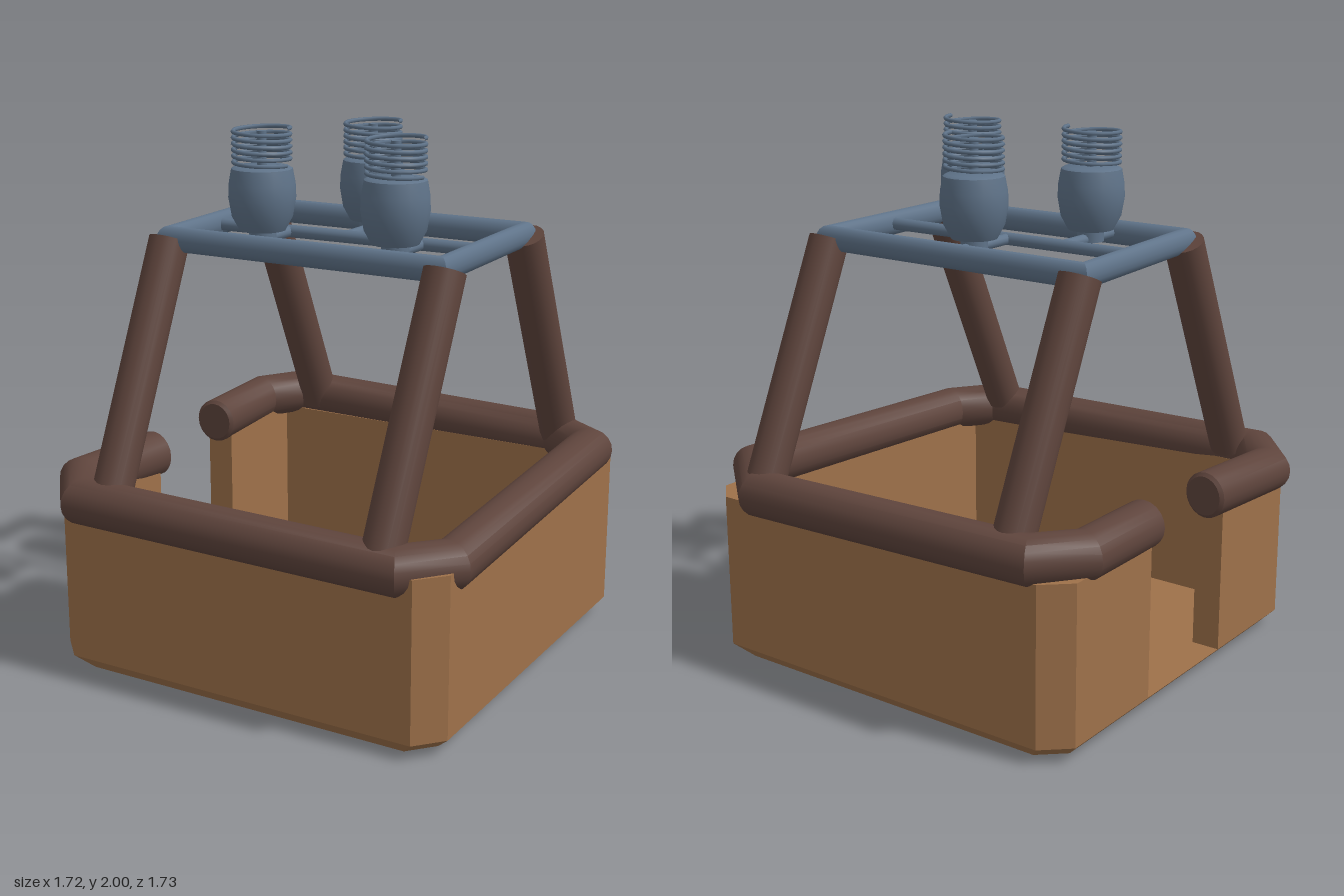
import * as THREE from 'three';
import { toCreasedNormals } from 'three/addons/utils/BufferGeometryUtils.js';

const V = (x, y, z) => new THREE.Vector3(x, y, z);

// Sweeps an elliptical section along a mostly level path with mitred corners.
function sweep(points, rx, ry, closed, sides = 16) {
  const up = V(0, 1, 0), n = points.length, rings = [];
  const sideOf = (a, b) => up.clone().cross(b.clone().sub(a)).setY(0).normalize();
  points.forEach((p, i) => {
    const prev = points[i - 1] || (closed ? points[n - 1] : null);
    const next = points[i + 1] || (closed ? points[0] : null);
    const a = prev && sideOf(prev, p), b = next && sideOf(p, next);
    const s = a && b ? a.clone().add(b).normalize() : (a || b).clone();
    if (a && b) s.divideScalar(s.dot(a));
    rings.push({ p, s, k: 1 });
  });
  if (closed) rings.push(rings[0]);
  else {
    // small bevel and flat cap at each end
    const cap = (end, inner) => {
      const q = end.p.clone().add(end.p.clone().sub(inner.p).normalize().multiplyScalar(0.012));
      return [{ p: q, s: end.s, k: 0.85 }, { p: q, s: end.s, k: 0 }];
    };
    const first = cap(rings[0], rings[1]).reverse();
    const last = cap(rings[n - 1], rings[n - 2]);
    rings.unshift(...first);
    rings.push(...last);
  }
  const pos = [], idx = [];
  for (const { p, s, k } of rings) {
    for (let j = 0; j < sides; j++) {
      const t = (j / sides) * Math.PI * 2;
      const v = p.clone().addScaledVector(s, Math.cos(t) * rx * k).addScaledVector(up, Math.sin(t) * ry * k);
      pos.push(v.x, v.y, v.z);
    }
  }
  for (let i = 0; i < rings.length - 1; i++) {
    for (let j = 0; j < sides; j++) {
      const a = i * sides + j, b = i * sides + (j + 1) % sides;
      idx.push(a, b, b + sides, a, b + sides, a + sides);
    }
  }
  const g = new THREE.BufferGeometry();
  g.setAttribute('position', new THREE.Float32BufferAttribute(pos, 3));
  g.setIndex(idx);
  return toCreasedNormals(g, 0.6);
}

// Extrudes a plan outline of [x, z] pairs upward from y0 to y1.
function slab(outline, y0, y1) {
  const shape = new THREE.Shape(outline.map(([x, z]) => new THREE.Vector2(x, -z)));
  const g = new THREE.ExtrudeGeometry(shape, { depth: y1 - y0, bevelEnabled: false });
  return g.rotateX(-Math.PI / 2).translate(0, y0, 0);
}

export function createModel() {
  const model = new THREE.Group();
  model.name = 'balloonBasket';
  const material = (name, color) => {
    const m = new THREE.MeshStandardMaterial({ color });
    m.name = name;
    return m;
  };
  const wicker = material('wicker', 0x9e714a);
  const leather = material('leather', 0x5e443c);
  const metal = material('metal', 0x5f7389);

  const add = (name, geometry, mat, parent = model) => {
    const mesh = new THREE.Mesh(geometry, mat);
    mesh.name = name;
    parent.add(mesh);
    return mesh;
  };
  const rod = (name, a, b, r, mat, sides = 16) => {
    const d = b.clone().sub(a);
    const mesh = add(name, new THREE.CylinderGeometry(r, r, d.length(), sides), mat);
    mesh.position.copy(a).add(b).multiplyScalar(0.5);
    mesh.quaternion.setFromUnitVectors(V(0, 1, 0), d.normalize());
  };

  // Floor with its underside tapering inward
  const floor = slab([
    [-0.79, 0.7], [-0.69, 0.8], [0.73, 0.8], [0.82, 0.7],
    [0.82, -0.72], [0.73, -0.81], [-0.69, -0.81], [-0.79, -0.72],
  ], 0, 0.06);
  const fp = floor.attributes.position;
  for (let i = 0; i < fp.count; i++) {
    if (fp.getY(i) < 0.03) fp.setXYZ(i, fp.getX(i) * 0.925, 0, fp.getZ(i) * 0.925);
  }
  floor.computeVertexNormals();
  add('floor', floor, wicker);

  // Walls with chamfered outer corners and a doorway on one side
  add('walls', slab([
    [-0.79, 0.24], [-0.79, 0.7], [-0.69, 0.8], [0.73, 0.8], [0.82, 0.7],
    [0.82, -0.72], [0.73, -0.81], [-0.69, -0.81], [-0.79, -0.72], [-0.79, -0.26],
    [-0.68, -0.26], [-0.68, -0.7], [0.71, -0.7], [0.71, 0.69], [-0.68, 0.69], [-0.68, 0.24],
  ], 0.06, 0.655), wicker);

  // Padded rim, open at the doorway
  add('rim', sweep([
    V(-0.735, 0.7, -0.23), V(-0.748, 0.71, -0.61), V(-0.63, 0.715, -0.77), V(0.575, 0.69, -0.778),
    V(0.766, 0.71, -0.61), V(0.773, 0.65, 0.6), V(0.645, 0.655, 0.757), V(-0.63, 0.675, 0.775),
    V(-0.775, 0.68, 0.6), V(-0.735, 0.68, 0.2),
  ], 0.086, 0.088, false, 20), leather);

  // Four leaning posts
  [
    ['frontLeftPost', 0.585, 0.735, 0.605, 0.35],
    ['frontRightPost', -0.535, 0.735, -0.525, 0.35],
    ['backLeftPost', 0.585, -0.755, 0.57, -0.375],
    ['backRightPost', -0.54, -0.755, -0.555, -0.375],
  ].forEach(([name, x0, z0, x1, z1]) =>
    rod(name, V(x0, 0.7, z0), V(x1, 1.58, z1), 0.075, leather, 20));

  // Burner frame and its crossbar
  add('burnerFrame', sweep([
    V(-0.57, 1.585, -0.375), V(0.57, 1.585, -0.378), V(0.59, 1.582, 0.345), V(-0.525, 1.585, 0.355),
  ], 0.033, 0.047, true), metal);
  rod('crossbar', V(-0.54, 1.585, 0.01), V(0.57, 1.585, -0.015), 0.024, metal, 12);

  // Burners: support rod, can, centre pin and coil
  const canProfile = [[0, 1.615], [0.085, 1.62], [0.112, 1.67], [0.124, 1.74], [0.122, 1.79], [0.112, 1.845], [0.1, 1.852], [0, 1.852]]
    .map(([r, y]) => new THREE.Vector2(r, y));
  class Coil extends THREE.Curve {
    getPoint(t, target = V(0, 0, 0)) {
      const a = t * 6 * Math.PI * 2;
      return target.set(Math.cos(a) * 0.104, 1.86 + t * 0.132, Math.sin(a) * 0.104);
    }
  }
  const canGeometry = toCreasedNormals(new THREE.LatheGeometry(canProfile, 20), 0.7);
  const coilGeometry = new THREE.TubeGeometry(new Coil(), 120, 0.008, 6);
  [[0.02, -0.205, -0.36], [-0.22, 0.19, 0.34], [0.33, 0.19, 0.34]].forEach(([x, z, zEnd]) => {
    rod('burnerSupport', V(x, 1.585, 0), V(x, 1.585, zEnd), 0.021, metal, 12);
    const burner = new THREE.Group();
    burner.name = 'burner';
    burner.position.set(x, 0, z);
    model.add(burner);
    add('can', canGeometry, metal, burner);
    add('coil', coilGeometry, metal, burner);
    add('neck', new THREE.CylinderGeometry(0.05, 0.05, 0.05, 12).translate(0, 1.6, 0), metal, burner);
    add('pin', new THREE.CylinderGeometry(0.018, 0.018, 0.14, 10).translate(0, 1.91, 0), metal, burner);
  });
  return model;
}
